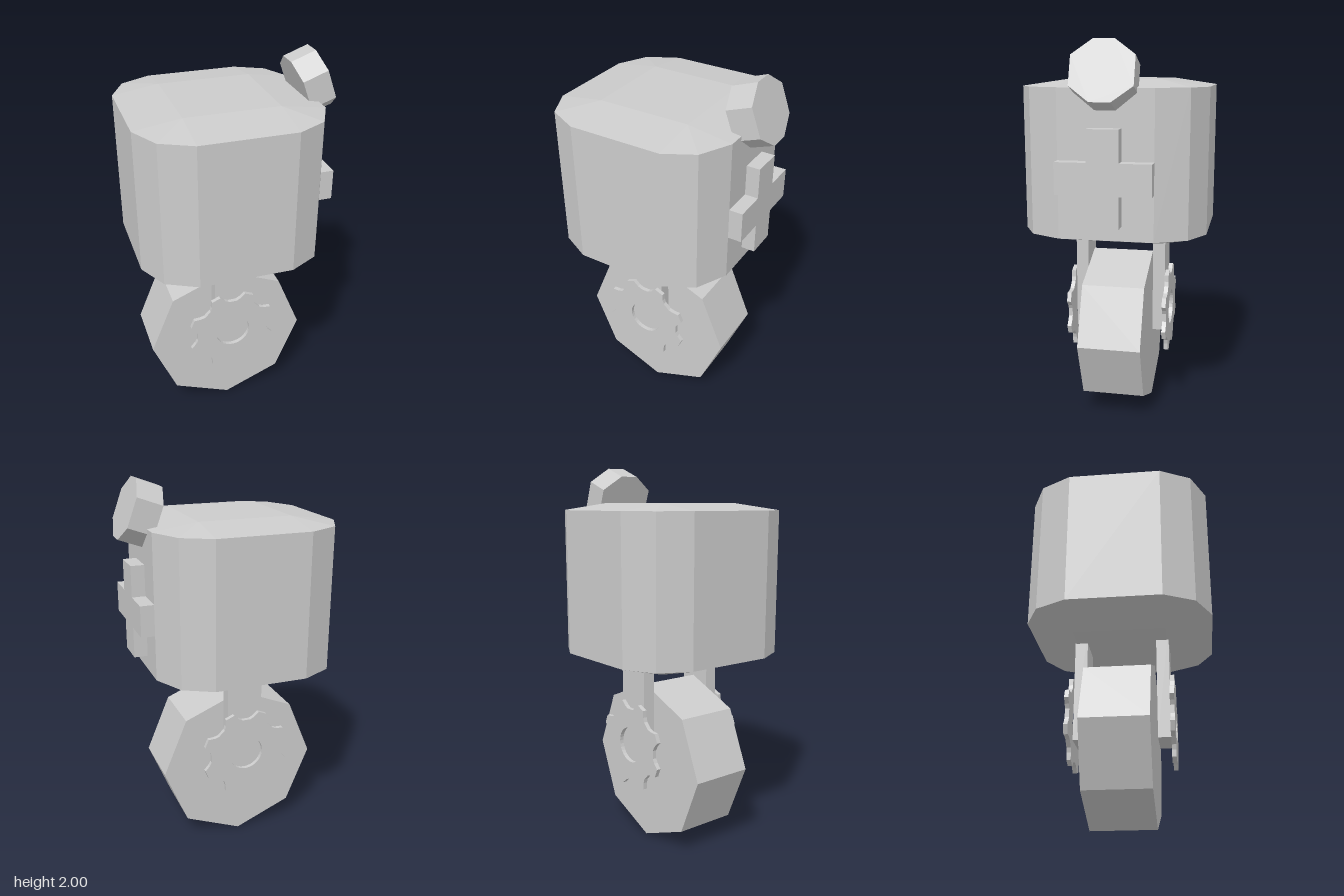
import * as THREE from 'three';

const material = new THREE.MeshStandardMaterial({ color: 0xcccccc, flatShading: true });

function add(parent, name, geometry, x = 0, y = 0, z = 0) {
  const mesh = new THREE.Mesh(geometry, material);
  mesh.name = name;
  mesh.position.set(x, y, z);
  parent.add(mesh);
  return mesh;
}

const toShape = (points) => new THREE.Shape(points.map(([x, y]) => new THREE.Vector2(x, y)));

// Extrude a flat shape, centred on its depth
function slab(shape, depth) {
  const g = new THREE.ExtrudeGeometry(shape, { depth, bevelEnabled: false, curveSegments: 16 });
  return g.translate(0, 0, -depth / 2);
}

// Body: a chamfered outline lofted upward, with shallow sloped top and bottom
function bodyGeometry() {
  const half = [[0.415, 0.24], [0.335, 0.4], [0.185, 0.48], [-0.3, 0.48], [-0.46, 0.4], [-0.54, 0.24]];
  const outer = [...half, ...half.map(([x, z]) => [x, -z]).reverse()];
  const clamp = THREE.MathUtils.clamp;
  const inner = outer.map(([x, z]) => [clamp(x, -0.3, 0.185), clamp(z, -0.24, 0.24)]);
  const lift = (ring, y) => ring.map(([x, z]) => new THREE.Vector3(x, y, z));
  const rings = [lift(inner, 0.97), lift(outer, 1.03), lift(outer, 1.775), lift(inner, 1.81)];
  const points = [];
  const tri = (a, b, c) => {
    if (!a.equals(b) && !b.equals(c) && !c.equals(a)) points.push(a, b, c);
  };
  for (let i = 0; i < 3; i++) {
    for (let j = 0; j < 12; j++) {
      const k = (j + 1) % 12;
      const a = rings[i][j], b = rings[i][k], c = rings[i + 1][k], d = rings[i + 1][j];
      tri(a, d, b);
      tri(b, d, c);
    }
  }
  // Flat centre panels; each corner repeats three times in the inner rings
  const [lo, hi] = [rings[0], rings[3]];
  tri(lo[0], lo[3], lo[6]);
  tri(lo[0], lo[6], lo[9]);
  tri(hi[0], hi[6], hi[3]);
  tri(hi[0], hi[9], hi[6]);
  const g = new THREE.BufferGeometry().setFromPoints(points);
  g.computeVertexNormals();
  return g;
}

// Gear: eight blunt teeth around a round hole
function gearGeometry() {
  const teeth = 8, step = (Math.PI * 2) / teeth, points = [];
  for (let i = 0; i < teeth; i++) {
    const mid = (i + 0.5) * step;
    for (const [offset, r] of [[-0.36, 0.2], [-0.24, 0.215], [-0.13, 0.245], [0.13, 0.245], [0.24, 0.215], [0.36, 0.2]]) {
      const a = mid + offset * step;
      points.push([r * Math.cos(a), r * Math.sin(a)]);
    }
  }
  const shape = toShape(points);
  shape.holes.push(new THREE.Path().absarc(0, 0, 0.095, 0, Math.PI * 2, true));
  return slab(shape, 0.022);
}

export function createModel() {
  const model = new THREE.Group();
  model.name = 'wheeledRobot';

  add(model, 'body', bodyGeometry());

  // Octagonal wheel with its axle along z
  add(model, 'wheel', new THREE.CylinderGeometry(0.432, 0.432, 0.334, 8).rotateX(Math.PI / 2), -0.065, 0.432, 0);

  // Fork legs and gears on both sides of the wheel
  for (const side of [1, -1]) {
    const label = side > 0 ? 'front' : 'back';
    add(model, label + 'Fork', new THREE.BoxGeometry(0.19, 0.6, 0.066), -0.063, 0.735, side * 0.215);
    add(model, label + 'Gear', gearGeometry(), -0.065, 0.543, side * 0.261);
  }

  // Raised cross on the left wall
  const a = 0.08, b = 0.24;
  const cross = toShape([[a, a], [a, b], [-a, b], [-a, a], [-b, a], [-b, -a],
    [-a, -a], [-a, -b], [a, -b], [a, -a], [b, -a], [b, a]]);
  add(model, 'crossPanel', slab(cross, 0.11).rotateY(Math.PI / 2), 0.43, 1.345, 0);

  // Tilted octagonal lamp on the upper left edge
  const lamp = toShape([[0.155, -0.075], [0.155, 0.075], [0.052, 0.153], [-0.052, 0.153],
    [-0.155, 0.075], [-0.155, -0.075], [-0.052, -0.153], [0.052, -0.153]]);
  const tilt = THREE.MathUtils.degToRad(20);
  add(model, 'lamp', slab(lamp, 0.137).rotateY(Math.PI / 2).rotateZ(tilt), 0.419, 1.833, 0);

  return model;
}
